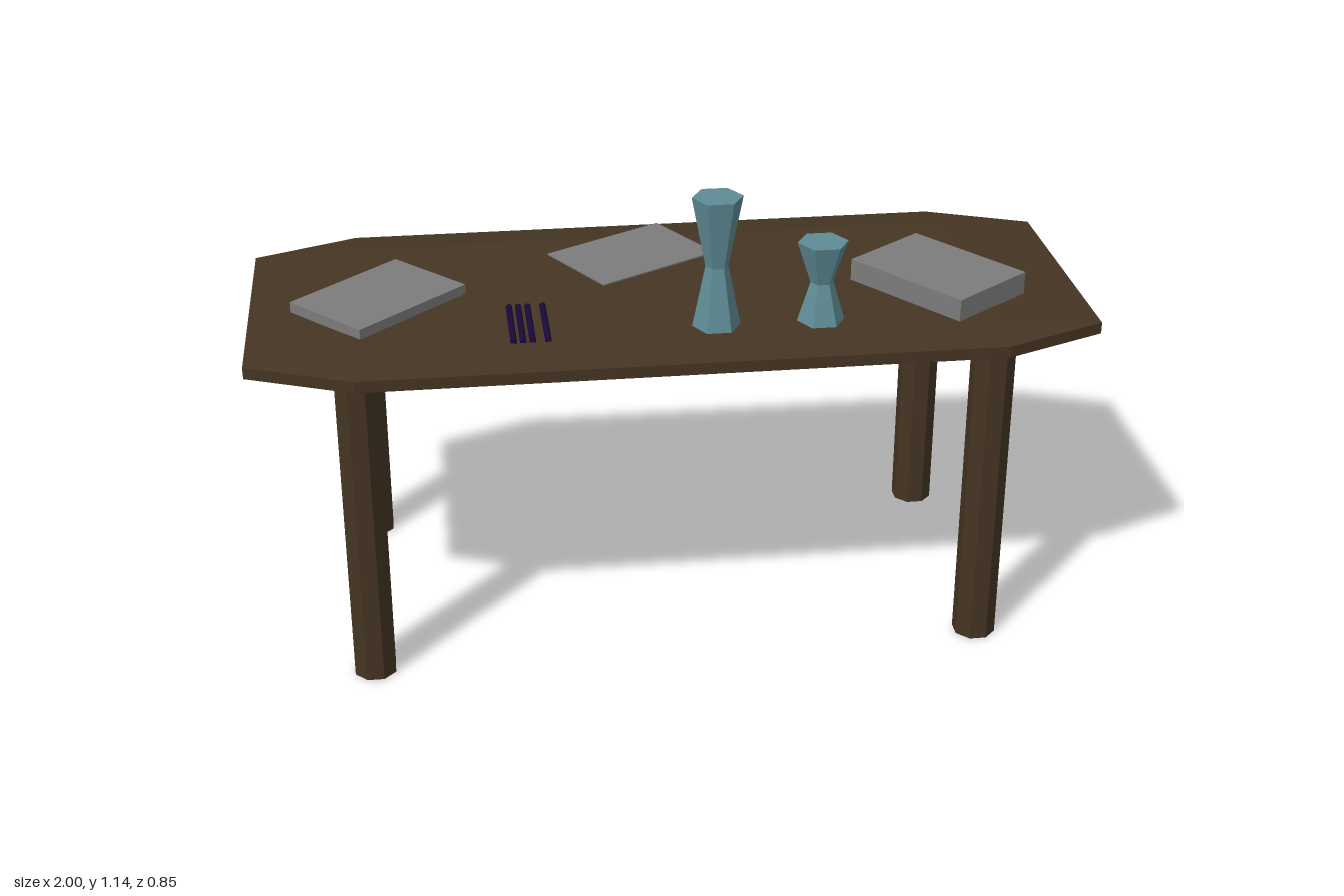
import * as THREE from 'three';
import { ConvexGeometry } from 'three/addons/geometries/ConvexGeometry.js';

function mat(name, color) {
  const m = new THREE.MeshStandardMaterial({ color });
  m.name = name;
  return m;
}

// Faceted cylinder with one flat normal per face
function prism(rTop, rBottom, height, sides) {
  const g = new THREE.CylinderGeometry(rTop, rBottom, height, sides).rotateY(Math.PI / sides).toNonIndexed();
  g.computeVertexNormals();
  return g;
}

export function createModel() {
  const model = new THREE.Group();
  model.name = 'table';
  const wood = mat('dark wood', 0x453523);
  const grey = mat('grey', 0x7c7c7c);
  const teal = mat('teal', 0x5f8c96);
  const purple = mat('dark purple', 0x1b0838);

  function add(name, geometry, material, x, y, z, parent = model) {
    const mesh = new THREE.Mesh(geometry, material);
    mesh.name = name;
    mesh.position.set(x, y, z);
    parent.add(mesh);
    return mesh;
  }

  // Tabletop: a slab with every edge and corner chamfered
  const X = 1, Y = 0.0245, Z = 0.424, x = 0.75, y = 0.014, z = 0.32;
  const points = [];
  for (const sx of [-1, 1]) for (const sy of [-1, 1]) for (const sz of [-1, 1]) {
    for (const [a, b, c] of [[X, y, z], [x, Y, z], [x, y, Z]]) {
      points.push(new THREE.Vector3(a * sx, b * sy, c * sz));
    }
  }
  add('tabletop', new ConvexGeometry(points), wood, 0, 0.8, 0);

  // Octagonal legs
  const legShape = prism(0.0525, 0.0525, 0.79, 8);
  for (const lx of [-0.748, 0.735]) for (const lz of [-0.35, 0.343]) {
    add(lz > 0 ? 'frontLeg' : 'backLeg', legShape, wood, lx, 0.395, lz);
  }

  // Books: same footprint, different thickness and turn
  const top = 0.823;
  const books = [
    ['rightBook', -0.692, 0.018, 0.026, 42.8],
    ['backBook', -0.06, -0.206, 0.005, 30],
    ['leftBook', 0.657, 0.086, 0.056, -53.3],
  ];
  for (const [name, bx, bz, thick, turn] of books) {
    const book = add(name, new THREE.BoxGeometry(0.343, thick, 0.243), grey, bx, top + thick / 2, bz);
    book.rotation.y = THREE.MathUtils.degToRad(turn);
  }

  // Pens lying front to back
  for (const px of [-0.385, -0.363, -0.341, -0.305]) {
    const pen = add('pen', prism(0.008, 0.008, 0.2, 8), purple, px, 0.827, 0.188);
    pen.rotation.x = Math.PI / 2;
  }

  // Hourglass vases: six-sided, narrow at the waist
  for (const [name, vx, waist, rim] of [['tallVase', 0.092, 0.975, 1.145], ['shortVase', 0.34, 0.922, 1.022]]) {
    const vase = new THREE.Group();
    vase.name = name;
    const base = 0.82;
    add('vaseBase', prism(0.027, 0.058, waist - base, 6), teal, vx, (base + waist) / 2, 0.242, vase);
    add('vaseBowl', prism(0.06, 0.027, rim - waist, 6), teal, vx, (waist + rim) / 2, 0.242, vase);
    model.add(vase);
  }

  return model;
}
